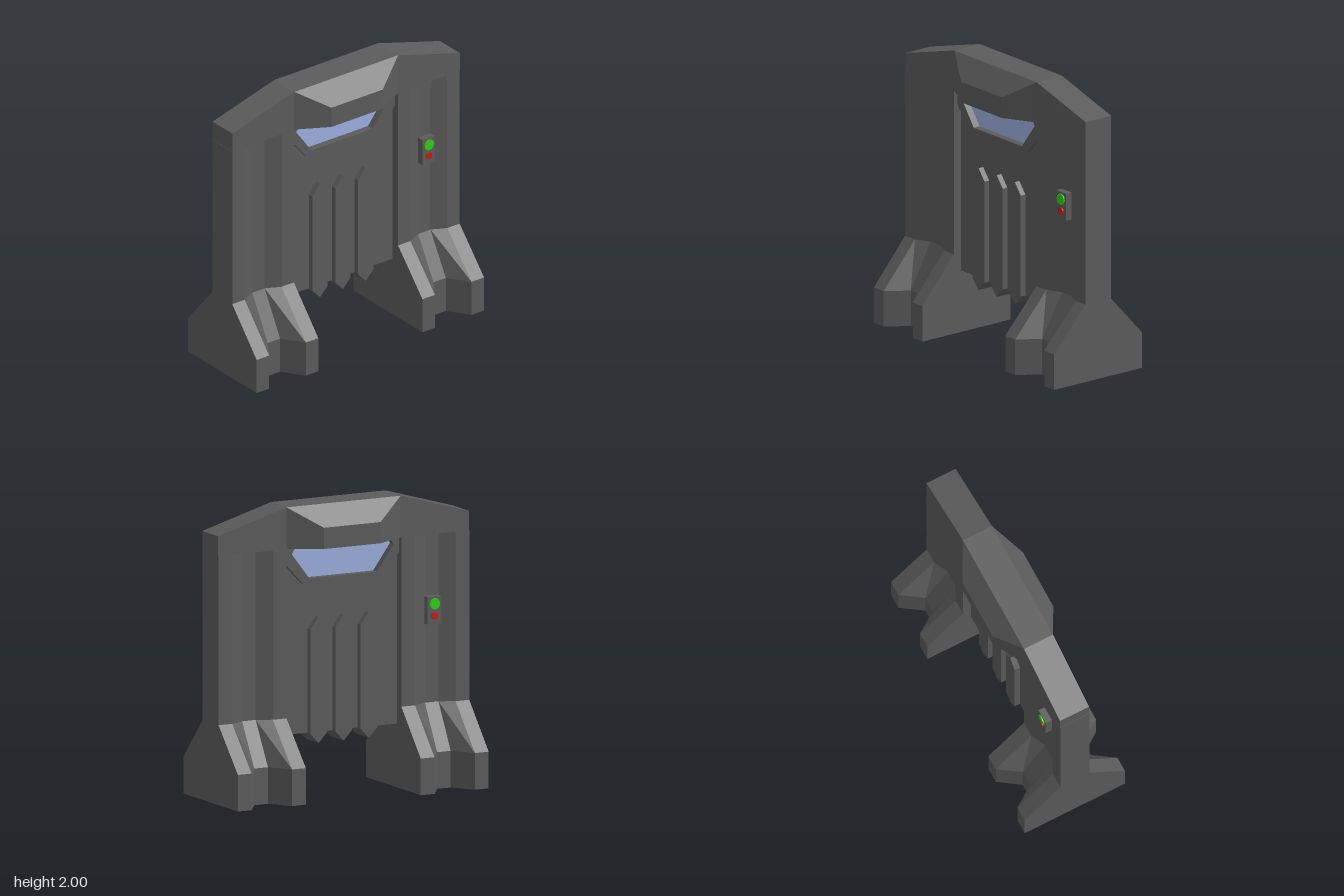
import * as THREE from 'three';
import { ConvexGeometry } from 'three/addons/geometries/ConvexGeometry.js';

const material = (color) => new THREE.MeshStandardMaterial({ color, flatShading: true });

function addMesh(parent, name, geometry, mat) {
  const mesh = new THREE.Mesh(geometry, mat);
  mesh.name = name;
  parent.add(mesh);
  return mesh;
}

// Flat outline in x/y, extruded evenly to both sides of z = 0
function slab(points, halfDepth) {
  const shape = new THREE.Shape(points.map(([x, y]) => new THREE.Vector2(x, y)));
  return new THREE.ExtrudeGeometry(shape, { depth: 2 * halfDepth, bevelEnabled: false })
    .translate(0, 0, -halfDepth);
}

// Grooved column that flares out into a foot; each level is [y, outer z, groove z]
function pillarGeometry(footY) {
  const levels = [[footY, 0.38, 0.23], [footY + 0.25, 0.38, 0.23], [0.56, 0.11, 0.06], [1.715, 0.11, 0.06]];
  const half = [[-0.26, 2], [-0.155, 2], [-0.052, 1], [0.052, 1], [0.155, 2], [0.26, 2]];
  const outline = [...half.map(([x, k]) => [x, -k]), ...half.map(([x, k]) => [-x, k])];
  const shape = new THREE.Shape(outline.map(([x, y]) => new THREE.Vector2(x, y)));
  const geometry = new THREE.ExtrudeGeometry(shape, { depth: 3, steps: 3, bevelEnabled: false });
  const p = geometry.attributes.position;
  for (let i = 0; i < p.count; i++) {
    const k = Math.round(p.getY(i));
    const level = levels[Math.round(p.getZ(i))];
    p.setXYZ(i, p.getX(i), level[0], -Math.sign(k) * level[3 - Math.abs(k)]);
  }
  geometry.computeVertexNormals();
  return geometry;
}

// Signal box with a green and a red lamp, set in a pillar groove
function indicator(body, green, red) {
  const group = new THREE.Group();
  const box = addMesh(group, 'indicatorBox', new THREE.BoxGeometry(0.105, 0.19, 0.06), body);
  box.position.set(0.697, 1.195, 0.078);
  for (const [name, y, r, mat] of [['greenLamp', 1.24, 0.038, green], ['redLamp', 1.157, 0.024, red]]) {
    const lamp = addMesh(group, name, new THREE.CylinderGeometry(r, r, 0.03, 20), mat);
    lamp.rotation.x = Math.PI / 2;
    lamp.position.set(0.697, y, 0.102);
  }
  return group;
}

export function createModel() {
  const model = new THREE.Group();
  model.name = 'gate';
  const body = material(0x5c5c5c);
  const glass = material(0x9cb0e0);
  const green = material(0x30d010);
  const red = material(0xd01810);

  // Pillars, one foot reaching slightly lower
  addMesh(model, 'leftPillar', pillarGeometry(0.015), body).position.x = 0.697;
  addMesh(model, 'rightPillar', pillarGeometry(0), body).position.x = -0.702;

  // Sloping lintel across the top
  addMesh(model, 'lintel', slab(
    [[-0.96, 1.715], [0.96, 1.715], [0.96, 1.85], [0.435, 2], [-0.44, 2], [-0.96, 1.85]], 0.11), body);

  // Faceted hood, bulging to front and back
  const hoodPoints = [];
  for (const sx of [-1, 1]) for (const sz of [-1, 1]) {
    for (const [x, y, z] of [[0.437, 2, 0.11], [0.437, 1.715, 0.11], [0.217, 1.86, 0.23], [0.217, 1.715, 0.23]]) {
      hoodPoints.push(new THREE.Vector3(sx * x, y, sz * z));
    }
  }
  addMesh(model, 'hood', new ConvexGeometry(hoodPoints), body);

  // Door panel, notched for the window
  const opening = [[0.35, 1.715], [0.38, 1.67], [0.245, 1.492], [-0.27, 1.492], [-0.4, 1.67], [-0.365, 1.715]];
  addMesh(model, 'doorPanel', slab(
    [[-0.45, 1.715], [-0.45, 0.435], [0.45, 0.435], [0.45, 1.715], ...opening], 0.05), body);
  addMesh(model, 'windowFrame', slab(
    [[-0.44, 1.715], [-0.44, 1.61], [-0.315, 1.46], [0.295, 1.46], [0.435, 1.61], [0.435, 1.715], ...opening], 0.08), body);
  addMesh(model, 'windowGlass', slab(opening, 0.03), glass);

  // Pointed door ribs
  for (const x of [-0.205, -0.012, 0.18]) {
    const rib = addMesh(model, 'doorRib', slab(
      [[-0.064, 0.432], [0, 0.365], [0.064, 0.432], [0.064, 1.145], [0, 1.225], [-0.064, 1.145]], 0.09), body);
    rib.position.x = x;
  }

  // Signals, on opposite pillars front and back
  for (const [name, turn] of [['frontIndicator', 0], ['backIndicator', Math.PI]]) {
    const signal = indicator(body, green, red);
    signal.name = name;
    signal.rotation.y = turn;
    model.add(signal);
  }
  return model;
}
